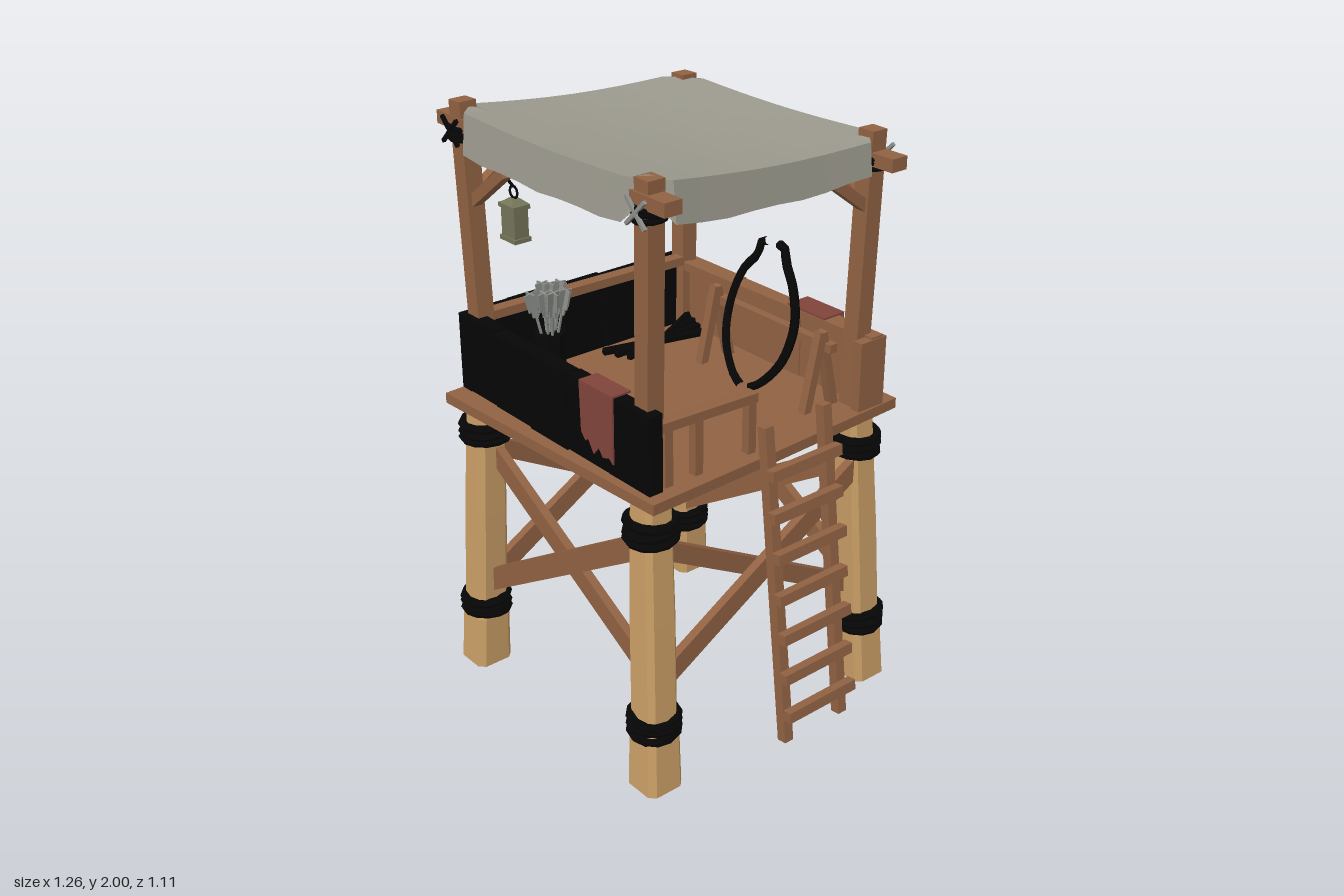
import * as THREE from 'three';

const mat = (name, color, extra = {}) => Object.assign(
  new THREE.MeshStandardMaterial({ color, flatShading: true, ...extra }), { name });
const V = (x, y, z) => new THREE.Vector3(x, y, z);

export function createModel() {
  const root = new THREE.Group();
  root.name = 'watchtower';
  const pale = mat('pale timber', 0xca9e66);
  const wood = mat('brown wood', 0x916243);
  const black = mat('black', 0x060606);
  const canvas = mat('canvas', 0x9d9b8f, { side: THREE.DoubleSide });
  const red = mat('red cloth', 0x81443c, { side: THREE.DoubleSide });
  const grey = mat('grey feather', 0x8c8f8a, { side: THREE.DoubleSide });
  const olive = mat('lantern glass', 0x75745a);

  let seed = 7;
  const rnd = () => (seed = (seed * 16807) % 2147483647) / 2147483647;
  const group = (name) => {
    const g = new THREE.Group();
    g.name = name;
    root.add(g);
    return g;
  };
  const add = (parent, name, geo, m, x = 0, y = 0, z = 0) => {
    const mesh = new THREE.Mesh(geo, m);
    mesh.name = name;
    mesh.position.set(x, y, z);
    parent.add(mesh);
    return mesh;
  };
  const box = (p, name, m, w, h, d, x, y, z) => add(p, name, new THREE.BoxGeometry(w, h, d), m, x, y, z);
  // Square timber from a to b
  const bar = (p, name, m, a, b, w, d = w) => {
    const dir = b.clone().sub(a);
    const c = a.clone().add(b).multiplyScalar(0.5);
    const mesh = box(p, name, m, w, dir.length(), d, c.x, c.y, c.z);
    mesh.quaternion.setFromUnitVectors(V(0, 1, 0), dir.normalize());
    return mesh;
  };
  const tube = (p, name, m, pts, r, seg = 20) =>
    add(p, name, new THREE.TubeGeometry(new THREE.CatmullRomCurve3(pts), seg, r, 6), m);
  // Coils of rope wound round an upright
  const coil = (p, x, y, z, r, n, t) => {
    for (let i = 0; i < n; i++) {
      const ring = add(p, 'ropeCoil', new THREE.TorusGeometry(r, t, 6, 12), black,
        x, y + (i - (n - 1) / 2) * t * 1.6, z);
      ring.rotation.set(Math.PI / 2 + (rnd() - 0.5) * 0.2, (rnd() - 0.5) * 0.2, 0);
    }
  };

  // Legs: chamfered logs with a wider foot, leaning inward [foot x, z, top x, z]
  const legs = group('legs');
  const rings = [[0, 0.068], [0.19, 0.064], [0.23, 0.058], [0.6, 0.057], [1.005, 0.05]];
  for (const [bx, bz, tx, tz] of [[-0.522, 0.472, -0.485, 0.44], [0.408, 0.46, 0.362, 0.43],
    [-0.543, -0.467, -0.492, -0.417], [0.388, -0.473, 0.35, -0.424]]) {
    const geo = new THREE.CylinderGeometry(1, 1, 1, 8, 4, false, Math.PI / 8);
    const p = geo.attributes.position;
    const sq = (v) => (Math.abs(v) < 1e-6 ? 0 : Math.sign(v) * (Math.abs(v) > 0.7 ? 1 : 0.7));
    for (let i = 0; i < p.count; i++) {
      const [y, r] = rings[Math.round((p.getY(i) + 0.5) * 4)];
      p.setXYZ(i, bx + (tx - bx) * y + sq(p.getX(i)) * r, y, bz + (tz - bz) * y + sq(p.getZ(i)) * r);
    }
    add(legs, 'leg', geo, pale);
    for (const y of [0.232, 0.905])
      coil(legs, bx + (tx - bx) * y, y, bz + (tz - bz) * y, 0.074, 3, 0.016);
  }

  // Crossed braces between the legs
  const braces = group('crossBraces');
  for (const s of [1, -1]) {
    const z = s * 0.44;
    bar(braces, 'brace', wood, V(-0.48, 0.83, z - 0.015), V(0.38, 0.35, z - 0.015), 0.07, 0.03);
    bar(braces, 'brace', wood, V(-0.49, 0.32, z + 0.015), V(0.35, 0.84, z + 0.015), 0.075, 0.03);
    const x = s > 0 ? 0.37 : -0.505;
    bar(braces, 'brace', wood, V(x - 0.015, 0.83, 0.43), V(x - 0.015, 0.35, -0.44), 0.03, 0.06);
    bar(braces, 'brace', wood, V(x + 0.015, 0.34, 0.44), V(x + 0.015, 0.84, -0.42), 0.03, 0.07);
  }

  // Deck with slightly uneven outline (shape y becomes -z)
  const outline = new THREE.Shape([[-0.555, -0.545], [0.455, -0.495], [0.44, 0], [0.415, 0.55],
    [0, 0.55], [-0.6, 0.505], [-0.58, 0]].map(([x, y]) => new THREE.Vector2(x, y)));
  const deckGeo = new THREE.ExtrudeGeometry(outline, { depth: 0.035, bevelEnabled: false });
  deckGeo.rotateX(-Math.PI / 2);
  add(root, 'deck', deckGeo, wood, 0, 1.003, 0);

  // Parapet panels
  const walls = group('parapet');
  const panels = (n, from, to, h, m, place) => {
    const w = (to - from) / n;
    for (let i = 0; i < n; i++)
      place(from + w * (i + 0.5), w - 0.002, h + (rnd() - 0.5) * 0.016, (rnd() - 0.5) * 0.01, m);
  };
  const alongX = (z) => (c, w, h, o, m) => box(walls, 'wallPanel', m, w, h, 0.05, c, 1.035 + h / 2, z + o);
  const alongZ = (x) => (c, w, h, o, m) => box(walls, 'wallPanel', m, 0.05, h, w, x + o, 1.035 + h / 2, c);
  panels(5, -0.56, 0.412, 0.26, black, alongX(0.45));
  panels(5, -0.46, 0.475, 0.26, black, alongZ(-0.535));
  panels(3, -0.55, 0.41, 0.24, wood, alongX(-0.452));
  box(walls, 'cornerPanel', wood, 0.035, 0.24, 0.11, 0.395, 1.155, -0.435);
  bar(walls, 'leftRail', wood, V(-0.495, 1.298, 0.4), V(-0.495, 1.285, -0.4), 0.045, 0.03);
  bar(walls, 'backRail', wood, V(-0.5, 1.265, -0.415), V(0.36, 1.275, -0.415), 0.03);

  // Side railing beside the ladder
  const rail = group('sideRailing');
  bar(rail, 'handrail', wood, V(0.385, 1.24, 0.43), V(0.385, 1.225, 0.05), 0.045, 0.03);
  for (const z of [0.39, 0.275, 0.065]) bar(rail, 'railPost', wood, V(0.385, 1.03, z), V(0.385, 1.225, z), 0.03);

  // Corner posts with top lashings
  const frame = group('roofFrame');
  const posts = [[-0.495, 0.42, -0.53, 0.43, 2.0], [0.343, 0.42, 0.365, 0.425, 1.98],
    [-0.5, -0.425, -0.52, -0.44, 1.935], [0.343, -0.42, 0.355, -0.44, 1.945]];
  for (const [bx, bz, tx, tz, h] of posts) {
    bar(frame, 'cornerPost', wood, V(bx, 1.02, bz), V(tx, h, tz), 0.06);
    coil(frame, tx, h - 0.1, tz, 0.045, 3, 0.009);
    const s = Math.sign(tz);
    for (const k of [1, -1])
      bar(frame, 'lashing', tx > 0 ? grey : black, V(tx - 0.04 * k, h - 0.13, tz + s * 0.05),
        V(tx + 0.04 * k, h - 0.05, tz + s * 0.05), 0.011);
  }
  bar(frame, 'frontBeam', wood, V(-0.63, 1.93, 0.43), V(0.47, 1.92, 0.43), 0.042, 0.062);
  bar(frame, 'backBeam', wood, V(-0.63, 1.86, -0.44), V(0.47, 1.86, -0.44), 0.042, 0.062);
  for (const x of [-0.525, 0.36]) bar(frame, 'sideBeam', wood, V(x, 1.9, 0.44), V(x, 1.86, -0.44), 0.035);
  // Knee braces at two opposite corners
  bar(frame, 'kneeBrace', wood, V(-0.53, 1.66, 0.425), V(-0.32, 1.82, 0.425), 0.035);
  bar(frame, 'kneeBrace', wood, V(-0.525, 1.68, 0.43), V(-0.525, 1.82, 0.23), 0.035);
  bar(frame, 'kneeBrace', wood, V(0.35, 1.69, -0.435), V(0.18, 1.83, -0.435), 0.035);
  bar(frame, 'kneeBrace', wood, V(0.355, 1.69, -0.44), V(0.355, 1.83, -0.25), 0.035);

  // Canvas canopy: sagging sheet whose outer ring of vertices hangs as a skirt
  const N = 12;
  const sheet = new THREE.PlaneGeometry(1, 1, N, N).rotateX(-Math.PI / 2);
  const sp = sheet.attributes.position;
  for (let i = 0; i < sp.count; i++) {
    const ix = Math.round((sp.getX(i) + 0.5) * N), iz = Math.round((sp.getZ(i) + 0.5) * N);
    const s = THREE.MathUtils.clamp((ix - 1) / (N - 2), 0, 1);
    const t = THREE.MathUtils.clamp((iz - 1) / (N - 2), 0, 1);
    let x = -0.558 + 0.963 * s, z = -0.475 + 0.945 * t;
    let y = 1.925 + 0.058 * t - 0.015 * Math.sin(Math.PI * s) - 0.022 * Math.sin(Math.PI * t);
    const atX = s === 0 || s === 1, atZ = t === 0 || t === 1;
    if (atX && atZ) {
      x -= Math.sign(s - 0.5) * 0.05;
      z -= Math.sign(t - 0.5) * 0.05;
    }
    const rimX = ix % N === 0, rimZ = iz % N === 0;
    if (rimX || rimZ) {
      y -= atX && atZ ? 0.07 : 0.1 + 0.03 * t + 0.004 * Math.sin(ix * 2.1 + iz * 1.7);
      if (rimX) x += Math.sign(s - 0.5) * 0.012;
      if (rimZ) z += Math.sign(t - 0.5) * 0.012;
    }
    sp.setXYZ(i, x, y, z);
  }
  sheet.computeVertexNormals();
  add(root, 'canopy', sheet, canvas);

  // Ladder leaning on the right edge
  const ladder = group('ladder');
  for (const z of [0.06, -0.18]) bar(ladder, 'ladderRail', wood, V(0.452, 1.15, z), V(0.582, 0.07, z), 0.035);
  for (let i = 0; i < 7; i++) {
    const y = 0.185 + i * 0.137;
    box(ladder, 'rung', wood, 0.032, 0.036, 0.29, 0.611 - (y - 0.185) * 0.132, y, -0.06 + (i % 2) * 0.006)
      .rotation.z = 0.12;
  }

  // Ragged cloths hung over the front and back walls
  const clothShape = new THREE.Shape([[-0.08, 0], [-0.075, -0.16], [-0.055, -0.185], [-0.04, -0.175],
    [-0.015, -0.215], [0.01, -0.185], [0.03, -0.21], [0.06, -0.2], [0.078, -0.215], [0.08, 0]]
    .map(([x, y]) => new THREE.Vector2(x, y)));
  const clothGeo = new THREE.ExtrudeGeometry(clothShape, { depth: 0.006, bevelEnabled: false });
  const cloths = group('cloths');
  add(cloths, 'frontCloth', clothGeo, red, 0.18, 1.3, 0.481);
  box(cloths, 'frontClothFold', red, 0.16, 0.006, 0.07, 0.18, 1.304, 0.452);
  box(cloths, 'backCloth', red, 0.17, 0.22, 0.006, 0.14, 1.18, -0.486);
  box(cloths, 'backClothFold', red, 0.17, 0.006, 0.09, 0.14, 1.293, -0.444);

  // Trestle rack with two bows leaning on it
  const rack = group('bowRack');
  for (const x of [-0.2, 0.3]) {
    for (const z of [-0.25, -0.37]) bar(rack, 'rackLeg', wood, V(x, 1.035, z), V(x, 1.3, -0.31), 0.03);
  }
  bar(rack, 'rackBar', wood, V(-0.24, 1.25, -0.33), V(0.34, 1.25, -0.33), 0.03);
  tube(rack, 'rightBow', black, [V(0.06, 1.045, -0.235), V(0.1, 1.07, -0.24), V(0.18, 1.17, -0.26),
    V(0.207, 1.3, -0.285), V(0.18, 1.41, -0.3), V(0.13, 1.48, -0.315), V(0.12, 1.52, -0.318), V(0.09, 1.53, -0.32)], 0.015);
  tube(rack, 'leftBow', black, [V(0.03, 1.045, -0.22), V(-0.02, 1.07, -0.23), V(-0.09, 1.16, -0.26),
    V(-0.113, 1.28, -0.3), V(-0.09, 1.39, -0.335), V(-0.045, 1.45, -0.355), V(-0.04, 1.49, -0.365), V(-0.015, 1.5, -0.37)], 0.015);

  // Dark staves lying along the left wall
  const staves = group('staves');
  for (let i = 0; i < 4; i++)
    bar(staves, 'stave', black, V(-0.46 + i * 0.045, 1.05, -0.03 - i * 0.02), V(-0.36 - i * 0.03, 1.055 + i * 0.012, -0.4), 0.02);

  // Quiver of arrows fanning out, with broad grey fletching
  const quiver = group('quiver');
  add(quiver, 'quiverBody', new THREE.CylinderGeometry(0.055, 0.05, 0.19, 8), black, -0.395, 1.13, 0.235);
  for (let i = 0; i < 9; i++) {
    const a = i * 2.4, r = 0.08 * Math.sqrt(i / 8);
    const top = V(-0.385 + Math.cos(a) * r * 0.8, 1.385 + (rnd() - 0.5) * 0.03, 0.237 + Math.sin(a) * r);
    const foot = V(-0.39 + Math.cos(a) * r * 0.2, 1.15, 0.237 + Math.sin(a) * r * 0.2);
    bar(quiver, 'arrowShaft', grey, foot, top, 0.007);
    const low = foot.clone().lerp(top, 0.62), mid = foot.clone().lerp(top, 0.72);
    for (const k of [1, 0]) {
      bar(quiver, 'fletching', grey, mid, top, k ? 0.046 : 0.005, k ? 0.005 : 0.046);
      bar(quiver, 'fletchingTip', grey, low, mid, k ? 0.026 : 0.005, k ? 0.005 : 0.026);
    }
  }

  // Hanging lantern
  const lantern = group('lantern');
  lantern.position.set(-0.358, 1.583, 0.375);
  box(lantern, 'lanternBody', olive, 0.07, 0.1, 0.052, 0, 0.06, 0);
  for (const y of [0.008, 0.113]) box(lantern, 'lanternPlate', olive, 0.082, 0.014, 0.062, 0, y, 0);
  const cap = add(lantern, 'lanternCap', new THREE.CylinderGeometry(0.018, 0.045, 0.016, 4), olive, 0, 0.128, 0);
  cap.rotation.y = Math.PI / 4;
  add(lantern, 'lanternRing', new THREE.TorusGeometry(0.02, 0.004, 5, 10), black, 0, 0.155, 0);
  bar(lantern, 'lanternHook', black, V(0, 0.172, 0), V(0, 0.235, 0.045), 0.008);

  return root;
}
